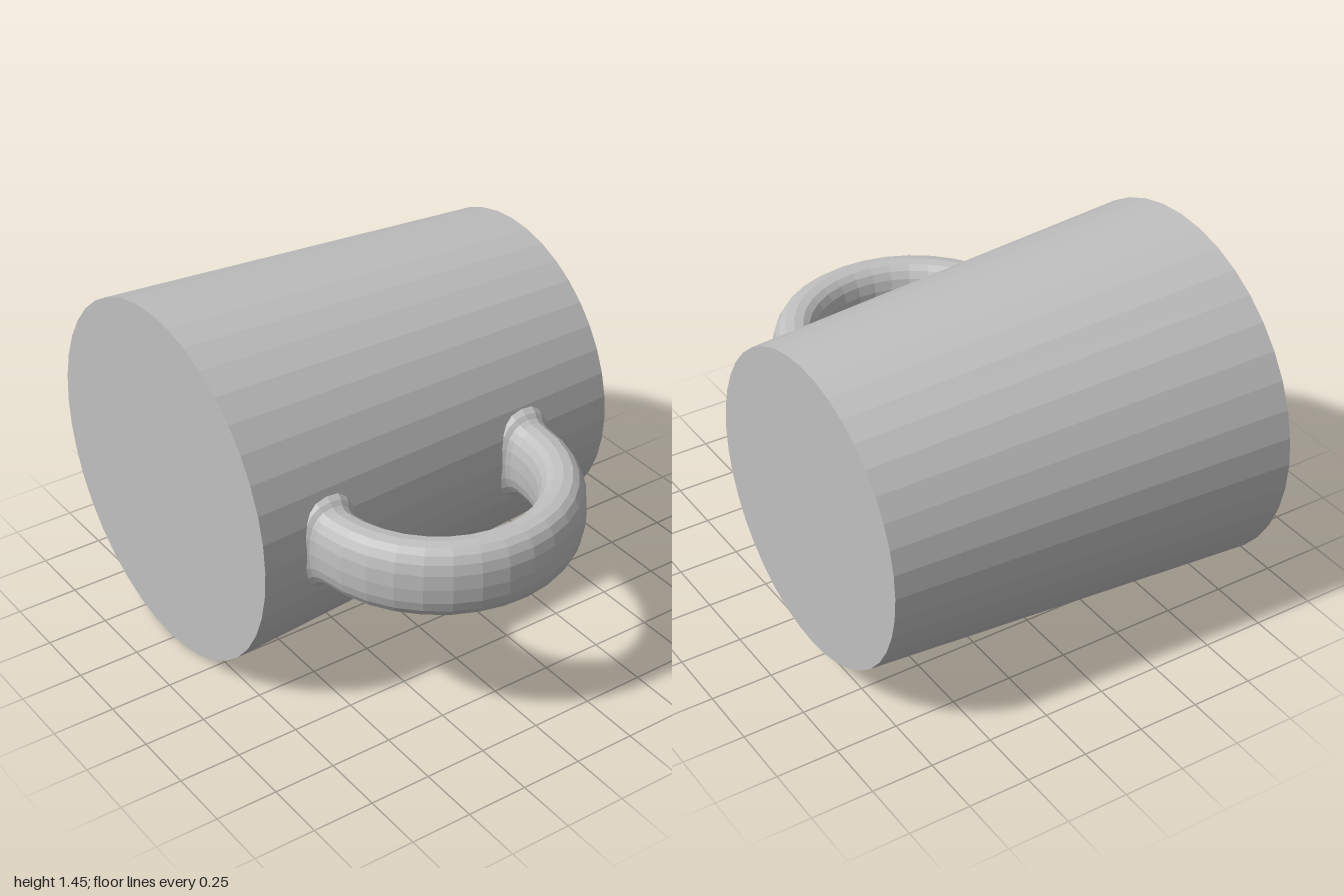
import * as THREE from 'three';

const CX = -0.275, CY = 0.727; // axis of the mug, which lies along z

// Closed loft through equal-length rings of points, with flat facets
function loft(rings) {
  const n = rings[0].length, index = [];
  for (let i = 0; i < rings.length - 1; i++) {
    for (let j = 0; j < n; j++) {
      const a = i * n + j, b = i * n + (j + 1) % n;
      index.push(a, b, a + n, b, b + n, a + n);
    }
  }
  const indexed = new THREE.BufferGeometry().setFromPoints(rings.flat());
  indexed.setIndex(index);
  const g = indexed.toNonIndexed();
  g.computeVertexNormals();
  return g;
}

// Rounded oval section placed at (x, z); t is the arc angle, flare widens it
function section(x, z, t, flare) {
  const ring = [], sides = 20;
  const soft = (v) => Math.sign(v) * Math.pow(Math.abs(v), 0.8);
  for (let j = 0; j < sides; j++) {
    const a = (j / sides) * Math.PI * 2;
    const across = soft(Math.cos(a)) * (0.093 + flare);
    const up = soft(Math.sin(a)) * (0.152 + flare);
    ring.push(new THREE.Vector3(x + Math.cos(t) * across, CY + up, z + Math.sin(t) * across));
  }
  return ring;
}

export function createModel() {
  const model = new THREE.Group();
  const grey = new THREE.MeshStandardMaterial({ color: 0xbfbfbf, flatShading: true });
  grey.name = 'grey';

  // Tapered solid body with closed ends, wide base at the front
  const bodyGeometry = new THREE.CylinderGeometry(0.727, 0.622, 1.66, 40);
  bodyGeometry.rotateX(Math.PI / 2);
  const body = new THREE.Mesh(bodyGeometry, grey);
  body.name = 'body';
  body.position.set(CX, CY, 0);
  model.add(body);

  // Half-round handle: flared root, arc, flared root
  const hx = 0.437, hz = 0.062, r = 0.47;
  const root = [[-0.04, 0.045], [0.0, 0.028], [0.015, 0.012], [0.035, 0.003]]; // distance from wall, flare
  const rings = [];
  for (const [d, f] of root) rings.push(section(0.372 + d, hz - r, -Math.PI / 2, f));
  for (let i = 0; i <= 16; i++) {
    const t = -Math.PI / 2 + (i / 16) * Math.PI * 0.97;
    rings.push(section(hx + r * Math.cos(t), hz + r * Math.sin(t), t, 0));
  }
  for (const [d, f] of [...root].reverse()) rings.push(section(0.43 + d, hz + r, Math.PI / 2, f));
  const handle = new THREE.Mesh(loft(rings), grey);
  handle.name = 'handle';
  model.add(handle);

  return model;
}
